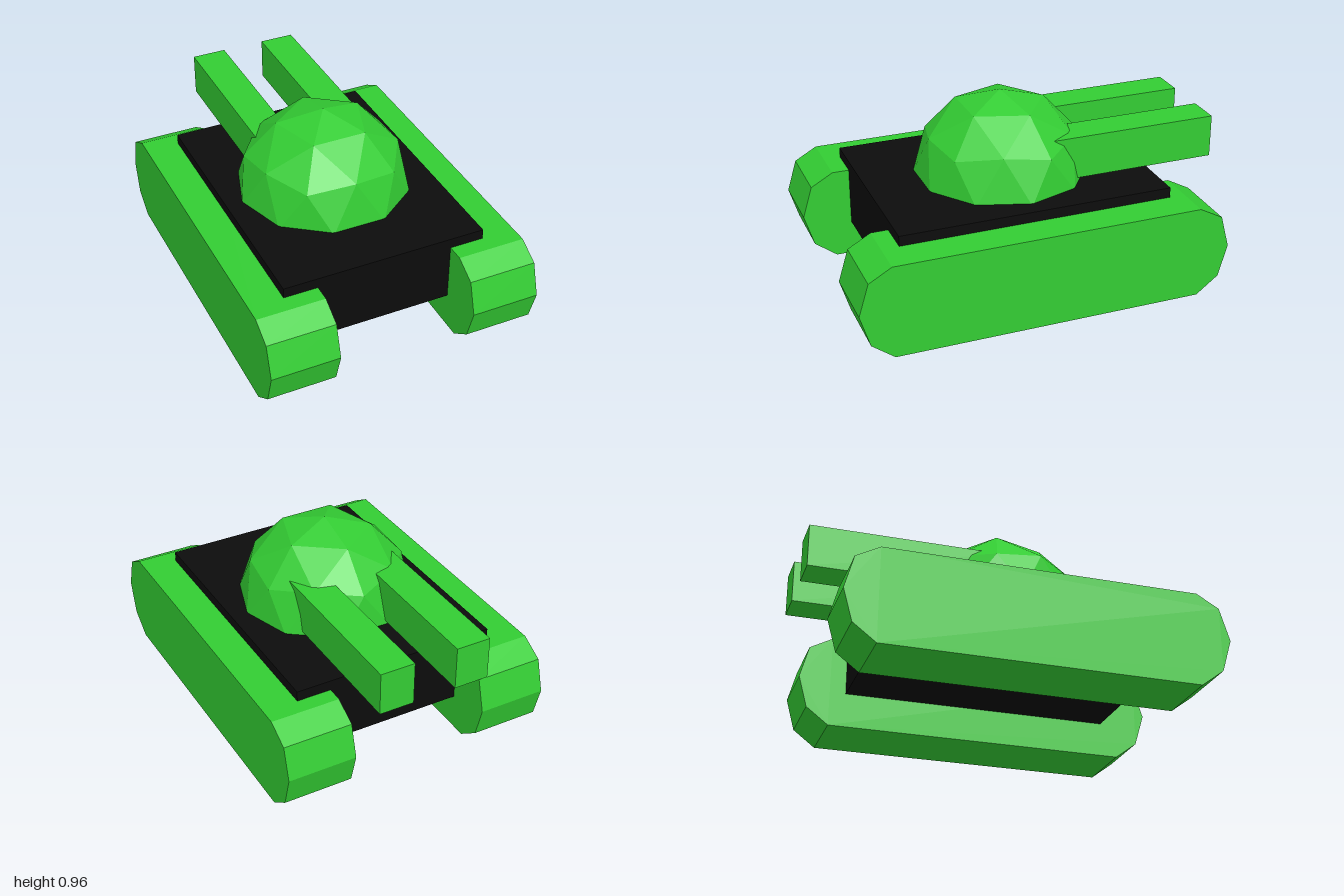
import * as THREE from 'three';

const green = new THREE.MeshStandardMaterial({ color: 0x33cc33, flatShading: true });
green.name = 'green';
const black = new THREE.MeshStandardMaterial({ color: 0x0c0c0c, flatShading: true });
black.name = 'black';

function box(name, material, min, max) {
  const size = max.map((v, i) => v - min[i]);
  const mesh = new THREE.Mesh(new THREE.BoxGeometry(...size), material);
  mesh.position.set(...max.map((v, i) => (v + min[i]) / 2));
  mesh.name = name;
  return mesh;
}

// Track: side outline (z, y) extruded across its width
function track(name, x0, width) {
  const outline = [
    [1.0, 0.25], [0.95, 0.415], [0.835, 0.48], [-0.735, 0.48], [-0.855, 0.415],
    [-0.9, 0.25], [-0.855, 0.087], [-0.74, 0], [0.835, 0], [0.95, 0.087],
  ];
  const shape = new THREE.Shape(outline.map(([z, y]) => new THREE.Vector2(-z, y)));
  const geometry = new THREE.ExtrudeGeometry(shape, { depth: width, bevelEnabled: false });
  geometry.rotateY(Math.PI / 2);
  const mesh = new THREE.Mesh(geometry, green);
  mesh.position.x = x0;
  mesh.name = name;
  return mesh;
}

// Turret: upper half of a faceted icosphere with a vertex on top
function dome(radius) {
  const ball = new THREE.IcosahedronGeometry(radius, 1);
  ball.rotateX(Math.atan((1 + Math.sqrt(5)) / 2));
  const p = ball.attributes.position;
  const kept = [];
  for (let i = 0; i < p.count; i += 3) {
    if (p.getY(i) + p.getY(i + 1) + p.getY(i + 2) < 0) continue;
    for (let j = i; j < i + 3; j++) kept.push(p.getX(j), p.getY(j), p.getZ(j));
  }
  const geometry = new THREE.BufferGeometry();
  geometry.setAttribute('position', new THREE.Float32BufferAttribute(kept, 3));
  geometry.computeVertexNormals();
  return geometry;
}

export function createModel() {
  const tank = new THREE.Group();
  tank.name = 'tank';

  tank.add(box('hull', black, [-0.528, 0.18, -0.655], [0.528, 0.532, 0.748]));
  tank.add(track('leftTrack', 0.351, 0.352), track('rightTrack', -0.703, 0.35));

  const turret = new THREE.Mesh(dome(0.445), green);
  turret.position.set(0, 0.518, 0.046);
  turret.name = 'turret';
  tank.add(turret);

  // Twin guns pointing to the rear, rooted inside the turret
  tank.add(box('leftGun', green, [0.112, 0.55, -1], [0.29, 0.77, 0]));
  tank.add(box('rightGun', green, [-0.29, 0.55, -1], [-0.112, 0.77, 0]));
  return tank;
}
